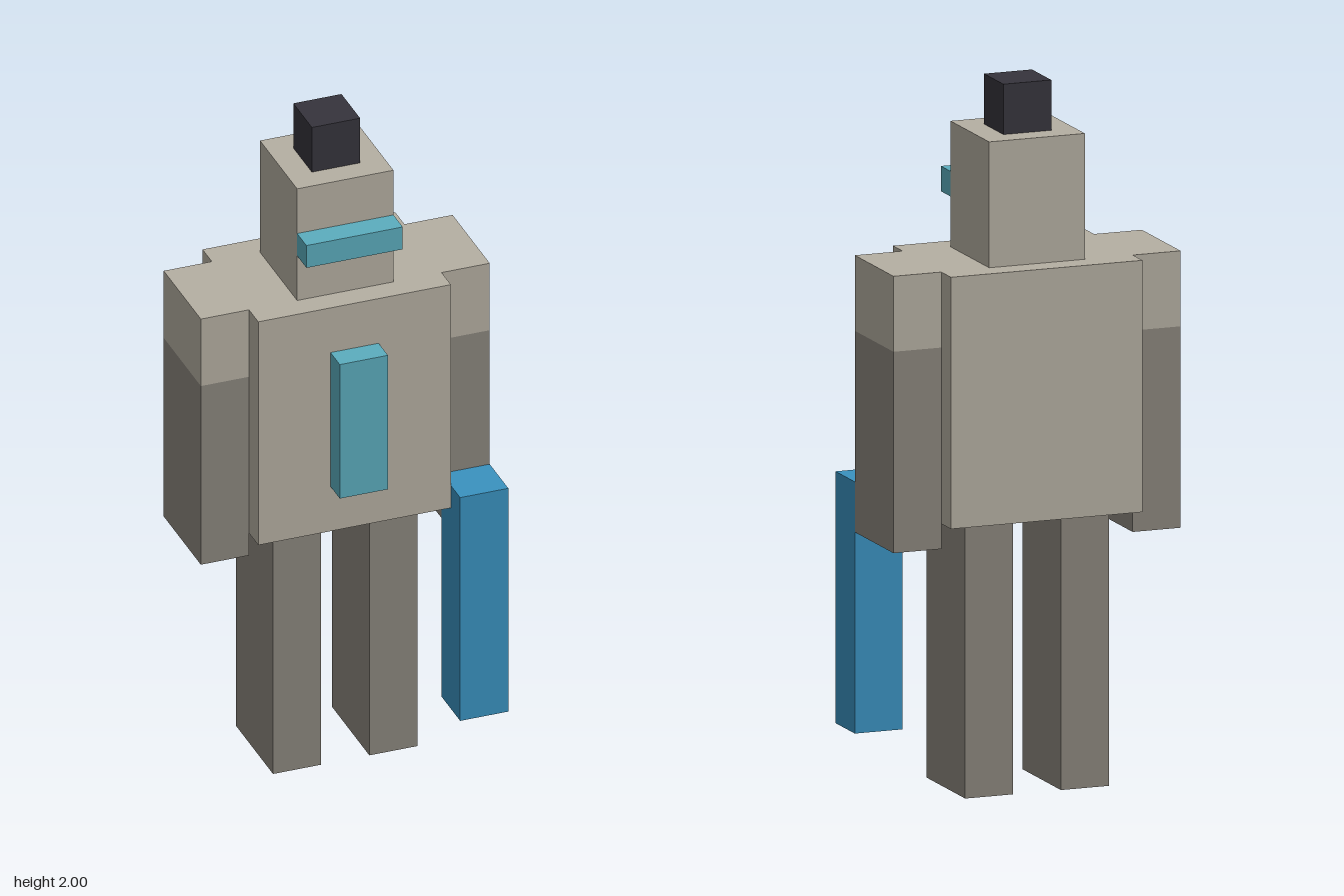
import * as THREE from 'three';

const U = 1 / 14; // the whole figure sits on a grid, 28 units tall

const material = (name, color) => {
  const m = new THREE.MeshStandardMaterial({ color });
  m.name = name;
  return m;
};

export function createModel() {
  const stone = material('light stone', 0xb5afa2);
  const darkStone = material('dark stone', 0x8b867d);
  const teal = material('teal', 0x5badbe);
  const blue = material('blue', 0x3a92c0);
  const black = material('charcoal', 0x36343c);

  const model = new THREE.Group();
  model.name = 'blockFigure';

  // Box given by its lower and upper corners in grid units
  const block = (name, mat, [x0, y0, z0], [x1, y1, z1], parent = model) => {
    const geometry = new THREE.BoxGeometry((x1 - x0) * U, (y1 - y0) * U, (z1 - z0) * U);
    const mesh = new THREE.Mesh(geometry, mat);
    mesh.position.set((x0 + x1) / 2 * U, (y0 + y1) / 2 * U, (z0 + z1) / 2 * U);
    mesh.name = name;
    parent.add(mesh);
  };

  // Body and head
  block('torso', stone, [-4, 11, -3.5], [4, 21, 2.5]);
  block('head', stone, [-2, 21, -2.5], [2, 26, 1.5]);
  block('topKnot', black, [-1, 26, -1.5], [1, 28, 0.5]);
  block('visor', teal, [-2, 23, 1.5], [2, 24, 2.5]);
  block('chestPanel', teal, [-1, 13, 2.5], [1, 19, 3.5]);

  // Paired limbs
  for (const [side, s] of [['left', 1], ['right', -1]]) {
    const armX = s * 5, legX = s * 2;
    const arm = new THREE.Group();
    arm.name = side + 'Arm';
    model.add(arm);
    block(side + 'Shoulder', stone, [armX - 1, 18, -2.5], [armX + 1, 21, 1.5], arm);
    block(side + 'Forearm', darkStone, [armX - 1, 10, -2.5], [armX + 1, 18, 1.5], arm);
    block(side + 'Leg', darkStone, [legX - 1, 0, -2.5], [legX + 1, 11, 1.5]);
  }

  // Blade held in front of the left arm
  block('blade', blue, [4, 2, 1.5], [6, 12, 3.5]);

  return model;
}
